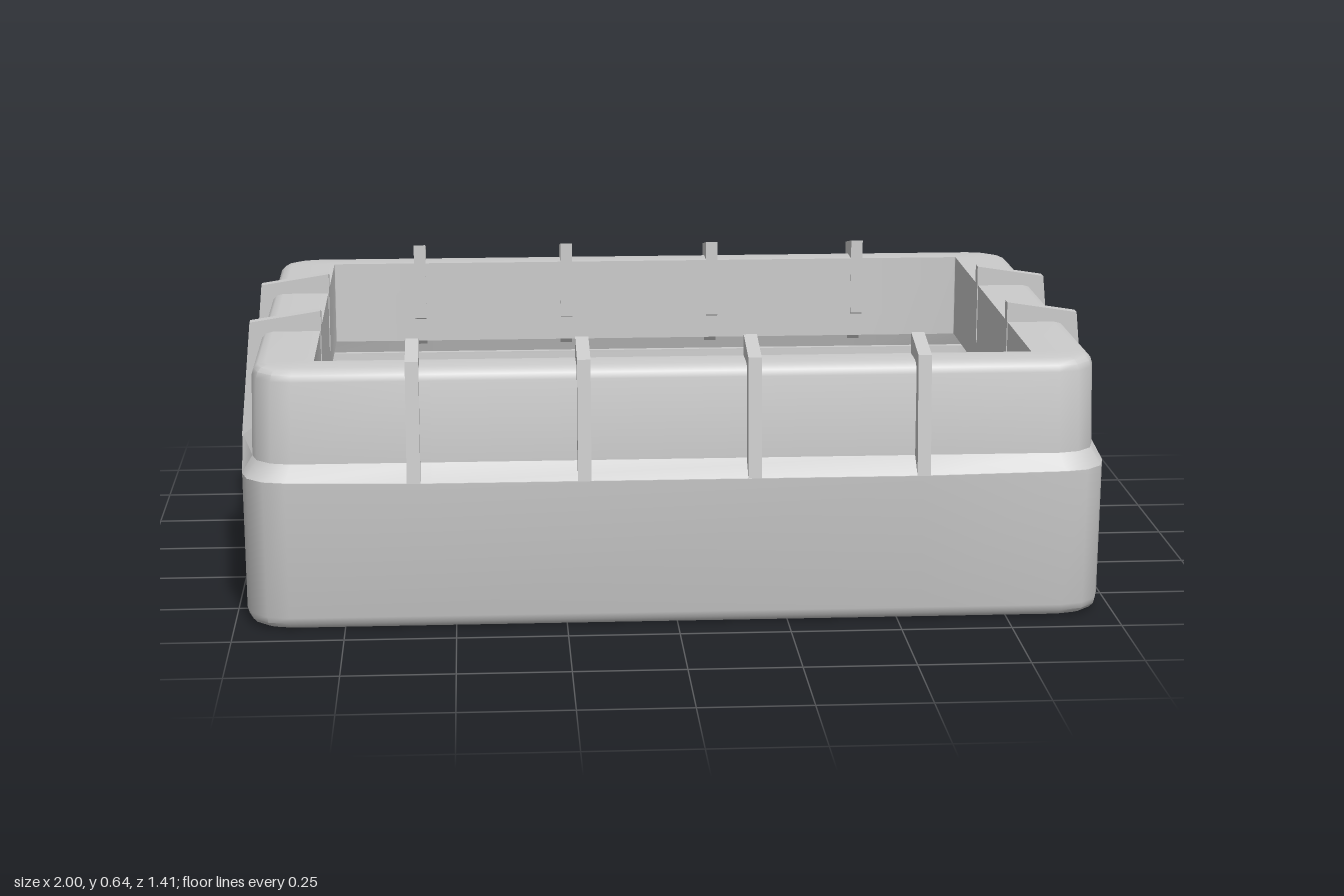
import * as THREE from 'three';
import { toCreasedNormals } from 'three/addons/utils/BufferGeometryUtils.js';

const material = new THREE.MeshStandardMaterial({ color: 0xcccccc });
const CORNER_STEPS = 3;

// Rounded rectangle at height y; bulge pushes the middle of each side outward.
function ring(y, hx, hz, r, bulgeX = 0, bulgeZ = 0) {
  const points = [];
  const add = (x, z) => points.push(new THREE.Vector3(x, y, z));
  const corner = (sx, sz, start) => {
    for (let i = 0; i <= CORNER_STEPS; i++) {
      const a = start + (i / CORNER_STEPS) * Math.PI / 2;
      add(sx * (hx - r) + r * Math.cos(a), sz * (hz - r) + r * Math.sin(a));
    }
  };
  corner(1, 1, 0);
  for (const x of [0.55, -0.55]) add(x, hz + bulgeZ);
  corner(-1, 1, Math.PI / 2);
  for (const z of [0.22, -0.22]) add(-hx - bulgeX, z);
  corner(-1, -1, Math.PI);
  for (const x of [-0.55, 0.55]) add(x, -hz - bulgeZ);
  corner(1, -1, Math.PI * 1.5);
  for (const z of [-0.22, 0.22]) add(hx + bulgeX, z);
  return points;
}

// Skin between successive rings, with both ends capped or joined to each other.
function loft(rings, capped) {
  const vertices = [];
  const tri = (...corners) => corners.forEach((p) => vertices.push(p.x, p.y, p.z));
  const n = rings[0].length;
  const spans = capped ? rings.length - 1 : rings.length;
  for (let k = 0; k < spans; k++) {
    const low = rings[k];
    const high = rings[(k + 1) % rings.length];
    for (let i = 0; i < n; i++) {
      const j = (i + 1) % n;
      tri(low[i], high[i], low[j]);
      tri(low[j], high[i], high[j]);
    }
  }
  if (capped) {
    const first = rings[0];
    const last = rings[rings.length - 1];
    const c0 = new THREE.Vector3(0, first[0].y, 0);
    const c1 = new THREE.Vector3(0, last[0].y, 0);
    for (let i = 0; i < n; i++) {
      const j = (i + 1) % n;
      tri(c0, first[i], first[j]);
      tri(c1, last[j], last[i]);
    }
  }
  const geometry = new THREE.BufferGeometry();
  geometry.setAttribute('position', new THREE.Float32BufferAttribute(vertices, 3));
  return toCreasedNormals(geometry, 0.6);
}

// Clip rib: profile across the rim, extruded to its width, pointing along +x.
function ribGeometry(rim, shoulder, inner) {
  const shape = new THREE.Shape([
    new THREE.Vector2(rim, 0.345),
    new THREE.Vector2(shoulder, 0.617),
    new THREE.Vector2(inner, 0.643),
    new THREE.Vector2(inner, 0.45),
    new THREE.Vector2(inner + 0.08, 0.345),
  ]);
  const width = 0.03;
  return new THREE.ExtrudeGeometry(shape, { depth: width, bevelEnabled: false })
    .translate(0, 0, -width / 2);
}

export function createModel() {
  const group = new THREE.Group();
  const addMesh = (name, geometry) => {
    const mesh = new THREE.Mesh(geometry, material);
    mesh.name = name;
    group.add(mesh);
    return mesh;
  };

  // Open tub: outer wall up to the bulged rim, then down the inside to the floor
  addMesh('tub', loft([
    ring(0, 0.948, 0.653, 0.08),
    ring(0.006, 0.962, 0.667, 0.09),
    ring(0.016, 0.97, 0.676, 0.095),
    ring(0.03, 0.974, 0.68, 0.1),
    ring(0.345, 0.976, 0.686, 0.1, 0.024, 0.019),
    ring(0.345, 0.91, 0.62, 0.08),
    ring(0.1, 0.9, 0.61, 0.08),
    ring(0.06, 0.888, 0.598, 0.08),
    ring(0.035, 0.86, 0.57, 0.08),
    ring(0.03, 0.83, 0.54, 0.08),
  ], true));

  // Lid frame: sloping ledge, rounded upper wall and square opening
  addMesh('lidFrame', loft([
    ring(0.39, 0.81, 0.562, 0.002),
    ring(0.39, 0.9, 0.615, 0.08),
    ring(0.346, 0.92, 0.63, 0.08),
    ring(0.346, 0.976, 0.686, 0.1, 0.024, 0.019),
    ring(0.382, 0.953, 0.66, 0.09),
    ring(0.568, 0.949, 0.657, 0.09),
    ring(0.582, 0.945, 0.653, 0.088),
    ring(0.591, 0.936, 0.644, 0.08),
    ring(0.595, 0.92, 0.628, 0.07),
    ring(0.595, 0.81, 0.562, 0.002),
  ], false));

  // Ribs over the short sides
  const sideRib = ribGeometry(1.0, 0.974, 0.808);
  for (const z of [-0.205, 0.232]) {
    addMesh('leftRib', sideRib).position.z = z;
    const right = addMesh('rightRib', sideRib);
    right.position.z = z;
    right.rotation.y = Math.PI;
  }

  // Ribs over the long sides
  const longRib = ribGeometry(0.705, 0.682, 0.56);
  for (const x of [-0.59, -0.21, 0.17, 0.55]) {
    const front = addMesh('frontRib', longRib);
    front.position.x = x;
    front.rotation.y = -Math.PI / 2;
    const back = addMesh('backRib', longRib);
    back.position.x = x;
    back.rotation.y = Math.PI / 2;
  }

  return group;
}
